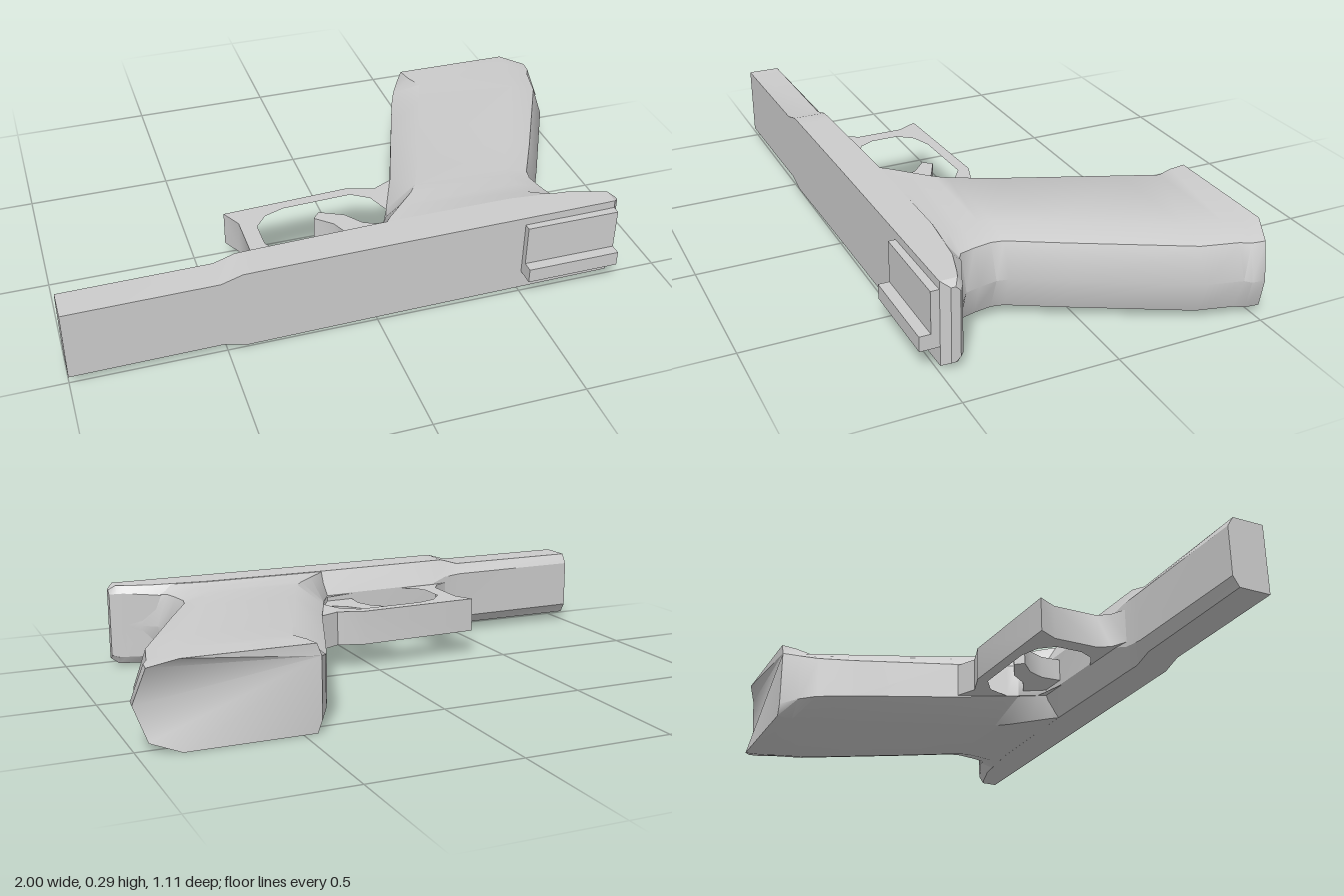
import * as THREE from 'three';
import { toCreasedNormals } from 'three/addons/utils/BufferGeometryUtils.js';

const material = new THREE.MeshStandardMaterial({ color: 0xcccccc });
// the thickness lies along y, around a slightly tilted middle plane
const midY = (z) => 0.151 + 0.011 * z;

function addMesh(group, name, geometry) {
  const mesh = new THREE.Mesh(geometry, material);
  mesh.name = name;
  group.add(mesh);
  return mesh;
}

// Skin a list of closed rings (equal point counts) and cap both ends
function loft(rings, crease) {
  const n = rings[0].length;
  const tris = [];
  for (let i = 0; i < rings.length - 1; i++) {
    for (let j = 0; j < n; j++) {
      const k = (j + 1) % n;
      const [a, b, c, d] = [rings[i][j], rings[i][k], rings[i + 1][k], rings[i + 1][j]];
      tris.push([a, b, c], [a, c, d]);
    }
  }
  const first = rings[0], last = rings[rings.length - 1];
  for (let j = 1; j < n - 1; j++) {
    tris.push([first[0], first[j + 1], first[j]], [last[0], last[j], last[j + 1]]);
  }
  // turn all faces outwards
  const volume = tris.reduce((s, [a, b, c]) => s + a.clone().cross(b).dot(c), 0);
  if (volume < 0) tris.forEach((t) => t.reverse());
  const geometry = new THREE.BufferGeometry().setFromPoints(tris.flat());
  return toCreasedNormals(geometry, crease);
}

// Flat outline in x and z, extruded through y around the middle plane
function slab(outline, hole, half) {
  const toPts = (list) => list.map(([x, z]) => new THREE.Vector2(x, -z));
  const shape = new THREE.Shape(toPts(outline));
  if (hole) shape.holes.push(new THREE.Path(toPts(hole)));
  const geometry = new THREE.ExtrudeGeometry(shape, { depth: half * 2, bevelEnabled: false });
  geometry.rotateX(-Math.PI / 2).translate(0, 0.153 - half, 0);
  return toCreasedNormals(geometry, 0.6);
}

export function createModel() {
  const group = new THREE.Group();
  group.name = 'frame';
  const V = (x, y, z) => new THREE.Vector3(x, y, z);

  // Long rail: x, half width, top z, chamfer z, under z, half width underneath
  const rail = [
    [-1, 0.12, 0.51, 0.4, 0.378, 0.085],
    [-0.51, 0.12, 0.506, 0.395, 0.365, 0.085],
    [-0.44, 0.141, 0.505, 0.393, 0.357, 0.08],
    [-0.38, 0.141, 0.504, 0.39, 0.345, 0.06],
    [0.07, 0.141, 0.498, 0.376, 0.325, 0.06],
    [0.5, 0.141, 0.494, 0.375, 0.34, 0.08],
    [0.7, 0.141, 0.492, 0.395, 0.365, 0.11],
    [0.8, 0.141, 0.491, 0.425, 0.41, 0.115],
    [0.825, 0.141, 0.49, 0.435, 0.418, 0.115],
    [0.848, 0.125, 0.465, 0.45, 0.435, 0.11],
  ];
  addMesh(group, 'rail', loft(rail.map(([x, h, zt, zc, zb, hb]) => {
    const y = 0.156;
    return [V(x, y + h, zt), V(x, y + h, zc), V(x, y + hb, zb),
      V(x, y - hb, zb), V(x, y - h, zc), V(x, y - h, zt)];
  }), 0.45));

  // Handle: z, front x, front half width, start of flat side, back x, back rounding
  const handle = [
    [-0.557, 0.44, 0.1, 0.455, 1.0, 1],
    [-0.5, 0.405, 0.085, 0.465, 0.995, 1],
    [-0.44, 0.378, 0.075, 0.488, 0.978, 1],
    [-0.32, 0.333, 0.07, 0.442, 0.95, 1],
    [0.04, 0.2, 0.065, 0.303, 0.767, 1],
    [0.2, 0.13, 0.06, 0.23, 0.682, 1],
    [0.24, 0.115, 0.06, 0.2, 0.675, 1],
    [0.3, 0.08, 0.06, 0.14, 0.686, 1],
    [0.35, 0.05, 0.06, 0.09, 0.70, 1],
    [0.385, 0.03, 0.07, 0.06, 0.75, 0.9],
    [0.415, 0.03, 0.08, 0.06, 0.81, 0.7],
    [0.45, 0.03, 0.08, 0.06, 0.82, 0.4],
  ];
  addMesh(group, 'handle', loft(handle.map(([z, xf, hf, xs, xb, r], i) => {
    const y = midY(z), h = 0.14;
    // the heel of the handle is cut off at a slant
    const lift = (x) => (i === 0 ? Math.max(0, x - 0.875) * 0.45 : i === 1 ? Math.max(0, x - 0.875) * 0.35 : 0);
    const side = [[xf, hf], [xs, h], [xb - 0.13 * r, h], [xb - 0.04 * r, 0.112]];
    const at = ([x, dy], s) => V(x, y + s * dy, z + lift(x));
    return [...side.map((p) => at(p, 1)), V(xb, y, z + lift(xb)),
      ...side.reverse().map((p) => at(p, -1))];
  }), 0.75));

  // Guard loop with its opening
  addMesh(group, 'triggerGuard', slab(
    [[-0.4, 0.062], [0.04, 0.04], [0.13, 0.07], [0.215, 0.03], [0.25, 0.2], [0.15, 0.4],
      [-0.46, 0.4], [-0.45, 0.362], [-0.39, 0.33], [-0.365, 0.29], [-0.365, 0.13]],
    [[-0.31, 0.165], [-0.27, 0.115], [-0.2, 0.09], [0.04, 0.08], [0.1, 0.12], [0.13, 0.2],
      [0.08, 0.3], [-0.1, 0.345], [-0.22, 0.345], [-0.285, 0.31], [-0.31, 0.26]], 0.06));

  // Curved lever inside the guard
  addMesh(group, 'trigger', slab(
    [[-0.11, 0.15], [-0.085, 0.12], [-0.005, 0.16], [0.04, 0.22], [0.11, 0.255],
      [0.09, 0.34], [-0.035, 0.34], [-0.03, 0.26], [-0.055, 0.2]], null, 0.04));

  // Raised plate and ridge on the rear of the rail: name, y range, outer z
  for (const [name, y0, y1, z1] of [
    ['rearPlate', 0.08, 0.27, 0.518],
    ['rearRidge', 0.08, 0.13, 0.555],
  ]) {
    const box = new THREE.BoxGeometry(0.32, y1 - y0, z1 - 0.47);
    addMesh(group, name, box).position.set(0.665, (y0 + y1) / 2, (z1 + 0.47) / 2);
  }
  return group;
}
